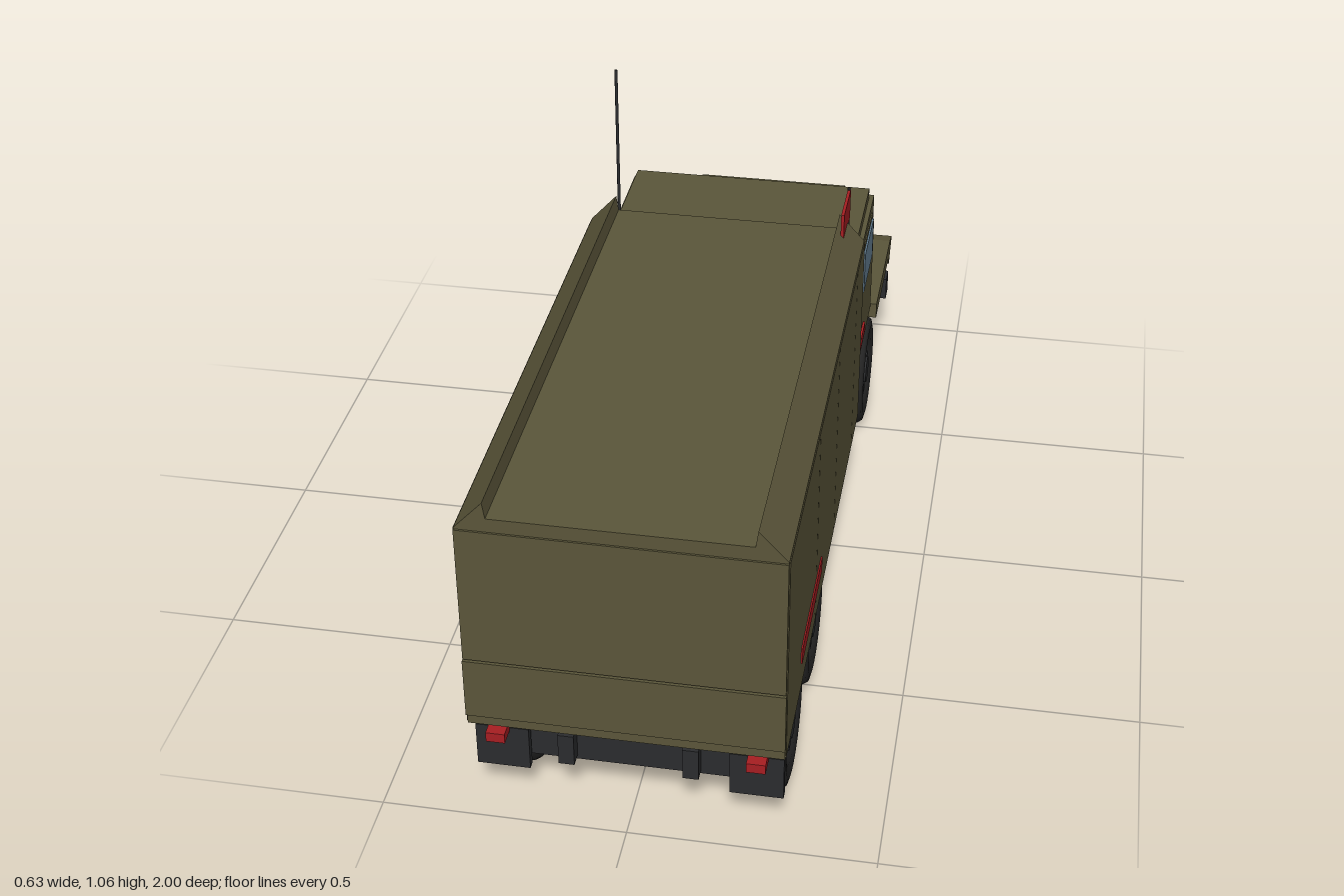
import * as THREE from 'three';

const mat = (name, color) => {
  const m = new THREE.MeshStandardMaterial({ color });
  m.name = name;
  return m;
};

export function createModel() {
  const truck = new THREE.Group();
  truck.name = 'truck';
  const olive = mat('olive paint', 0x5b563a);
  const black = mat('chassis black', 0x2b2c2e);
  const rubber = mat('tyre rubber', 0x262626);
  const red = mat('red', 0xa81e22);
  const glass = mat('window glass', 0x678296);
  const lens = mat('lamp lens', 0xc4c6bf);

  const add = (name, geo, m, parent = truck) => {
    const mesh = new THREE.Mesh(geo, m);
    mesh.name = name;
    parent.add(mesh);
    return mesh;
  };
  // Box given by its limits on each axis
  const box = (name, m, x0, x1, y0, y1, z0, z1, parent) => {
    const g = new THREE.BoxGeometry(Math.abs(x1 - x0), y1 - y0, z1 - z0);
    g.translate((x0 + x1) / 2, (y0 + y1) / 2, (z0 + z1) / 2);
    return add(name, g, m, parent);
  };
  const shape = (pts) => new THREE.Shape(pts.map((p) => new THREE.Vector2(...p)));
  // Side profile of (forward, up) points, extruded across x
  const sideExtrude = (name, m, pts, x0, x1) => {
    const g = new THREE.ExtrudeGeometry(shape(pts), { depth: x1 - x0, bevelEnabled: false });
    g.rotateY(Math.PI / 2).translate(x0, 0, 0);
    return add(name, g, m);
  };

  // Cargo body with raised, chamfered roof edges
  const body = new THREE.ExtrudeGeometry(shape([
    [-0.312, 0.235], [0.312, 0.235], [0.312, 0.708], [0.255, 0.77], [0.25, 0.735],
    [-0.25, 0.735], [-0.255, 0.77], [-0.312, 0.708],
  ]), { depth: 1.193, bevelEnabled: false });
  body.translate(0, 0, -0.2);
  add('cargoBody', body, olive);
  box('tailgate', olive, -0.313, 0.313, 0.26, 0.395, 0.99, 1.0);
  box('rearPanel', olive, -0.312, 0.312, 0.398, 0.705, 0.99, 0.997);
  box('bulkheadPanel', olive, -0.3, 0.3, 0.25, 0.46, -0.207, -0.19);

  // Cab, roof and windscreen
  box('cab', olive, -0.295, 0.295, 0.3, 0.612, -0.597, -0.222);
  box('cabRoof', olive, -0.284, 0.284, 0.61, 0.636, -0.583, -0.238);
  const screen = box('windscreen', glass, -0.262, 0.262, -0.068, 0.068, -0.004, 0.004);
  screen.position.set(0, 0.53, -0.603);
  screen.rotation.x = -0.08;

  // Bonnet with pointed nose, and grille
  sideExtrude('bonnet', olive, [
    [0.59, 0.265], [0.938, 0.265], [0.942, 0.375], [0.997, 0.388], [0.942, 0.447], [0.59, 0.447],
  ], -0.187, 0.187);
  for (let i = -4; i <= 4; i++) {
    const x = i * 0.0275;
    box('grilleBar', black, x - 0.006, x + 0.006, 0.217, 0.375, -0.95, -0.936);
  }

  // Chassis
  box('frontBumper', black, -0.31, 0.31, 0.142, 0.2, -0.948, -0.902);
  box('rearCrossmember', black, -0.21, 0.21, 0.125, 0.203, 0.9, 0.94);
  for (const z of [0.62, 0.15, -0.3, -0.82]) {
    box('crossmember', black, -0.12, 0.12, 0.145, 0.195, z - 0.018, z + 0.018);
  }

  // Wheel: tyre, painted rim, hub and four slots
  const tyreGeo = new THREE.LatheGeometry([
    [0.075, -0.036], [0.088, -0.046], [0.112, -0.05], [0.128, -0.046], [0.136, -0.034], [0.138, -0.015],
    [0.138, 0.015], [0.136, 0.034], [0.128, 0.046], [0.112, 0.05], [0.088, 0.046], [0.075, 0.036],
  ].map((p) => new THREE.Vector2(...p)), 32).rotateZ(Math.PI / 2);
  const rimGeo = new THREE.CylinderGeometry(0.082, 0.082, 0.076, 28).rotateZ(Math.PI / 2);
  const hubGeo = new THREE.CylinderGeometry(0.033, 0.033, 0.096, 16).rotateZ(Math.PI / 2);
  const makeWheel = (s, z) => {
    const w = new THREE.Group();
    w.name = 'wheel';
    add('tyre', tyreGeo, rubber, w);
    add('rim', rimGeo, olive, w);
    add('hub', hubGeo, black, w);
    for (let i = 0; i < 4; i++) {
      const slot = box('rimSlot', black, 0.03, 0.042, 0.045, 0.068, -0.012, 0.012, w);
      slot.rotation.x = i * Math.PI / 2;
    }
    w.position.set(s * 0.252, 0.138, z);
    if (s < 0) w.rotation.y = Math.PI;
    truck.add(w);
  };
  for (const z of [0.777, 0.455, -0.555]) {
    const axle = add('axle', new THREE.CylinderGeometry(0.022, 0.022, 0.44, 12).rotateZ(Math.PI / 2), black);
    axle.position.set(0, 0.145, z);
    makeWheel(1, z);
    makeWheel(-1, z);
  }

  // Rounded fuel tank running lengthwise
  const tankGeo = new THREE.LatheGeometry([
    [0, -0.123], [0.04, -0.12], [0.054, -0.108], [0.06, -0.085],
    [0.06, 0.085], [0.054, 0.108], [0.04, 0.12], [0, 0.123],
  ].map((p) => new THREE.Vector2(...p)), 24).rotateX(Math.PI / 2).scale(1.25, 1, 1);

  // Mirrored parts
  for (const s of [-1, 1]) {
    const mbox = (name, m, x0, x1, ...r) => box(name, m, s * x0, s * x1, ...r);
    add('fuelTank', tankGeo, olive).position.set(s * 0.224, 0.183, -0.137);
    mbox('chassisRail', black, 0.108, 0.14, 0.135, 0.207, -0.85, 0.97);
    mbox('mudFlap', black, 0.2, 0.307, 0.105, 0.205, 0.945, 0.962);
    mbox('mudFlapBracket', black, 0.21, 0.302, 0.2, 0.237, 0.93, 0.955);
    mbox('tailLamp', red, 0.238, 0.276, 0.198, 0.22, 0.955, 1.0);

    // Body side panels and marker strips
    for (const [z0, z1] of [[-0.198, -0.06], [-0.057, 0.257], [0.26, 0.567], [0.57, 0.99]]) {
      mbox('sidePanel', olive, 0.31, 0.314, 0.238, 0.705, z0, z1);
    }
    mbox('bodyStripe', red, 0.31, 0.317, 0.308, 0.345, 0.495, 0.795);

    // Doors
    mbox('door', olive, 0.29, 0.298, 0.302, 0.545, -0.59, -0.3);
    mbox('windowFrame', olive, 0.29, 0.298, 0.47, 0.592, -0.545, -0.345);
    mbox('sideWindow', glass, 0.295, 0.302, 0.48, 0.582, -0.535, -0.355);
    mbox('doorStripe', red, 0.294, 0.303, 0.34, 0.367, -0.41, -0.26);

    // Front wing with downturned lip
    const [x0, x1] = s > 0 ? [0.185, 0.313] : [-0.313, -0.185];
    sideExtrude('frontWing', olive, [
      [0.595, 0.268], [0.9, 0.268], [0.917, 0.24], [0.968, 0.295], [0.92, 0.307], [0.595, 0.307],
    ], x0, x1);

    // Headlamps
    mbox('headlampHousing', black, 0.185, 0.262, 0.365, 0.422, -0.942, -0.922);
    mbox('headlampLens', lens, 0.2, 0.257, 0.371, 0.416, -0.948, -0.94);
  }

  // Aerial and flag behind the cab
  const pole = (name, x, y0, y1, r) => {
    add(name, new THREE.CylinderGeometry(r, r, y1 - y0, 8), black).position.set(x, (y0 + y1) / 2, -0.248);
  };
  pole('aerial', -0.259, 0.6, 1.06, 0.0035);
  pole('flagPole', 0.269, 0.6, 0.812, 0.0035);
  box('flag', red, 0.266, 0.273, 0.738, 0.808, -0.25, -0.127);

  return truck;
}
